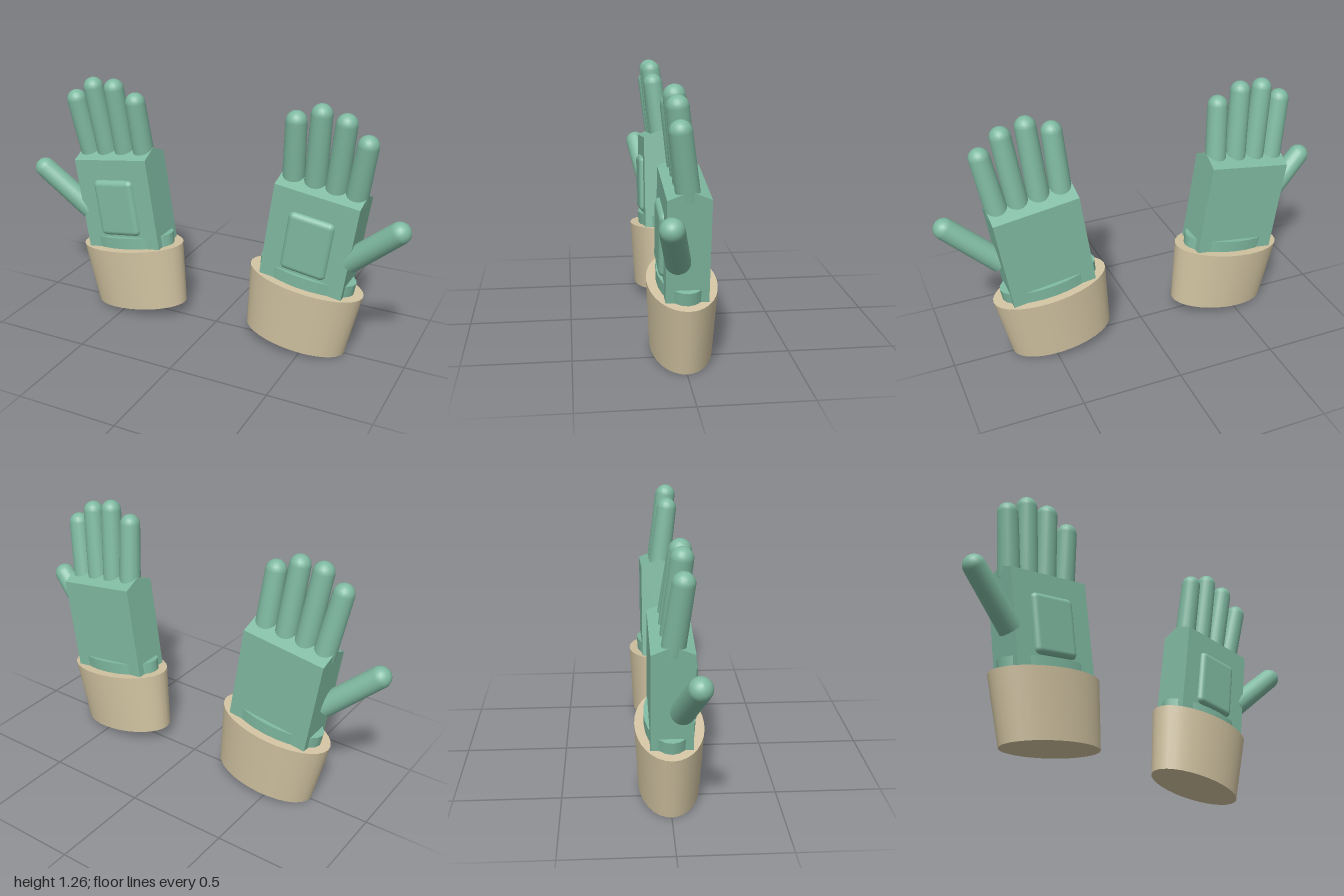
import * as THREE from 'three';
import { RoundedBoxGeometry } from 'three/addons/geometries/RoundedBoxGeometry.js';

export function createModel() {
  const green = new THREE.MeshStandardMaterial({ color: 0x7fb9a1 });
  green.name = 'gloveGreen';
  const beige = new THREE.MeshStandardMaterial({ color: 0xd2c4a2 });
  beige.name = 'cuffBeige';

  const model = new THREE.Group();
  model.name = 'pairOfGloves';

  const add = (parent, name, geometry, material) => {
    const mesh = new THREE.Mesh(geometry, material);
    mesh.name = name;
    parent.add(mesh);
    return mesh;
  };

  // Round-tipped digit with a flat base, running from base to tip centre
  const addDigit = (parent, name, base, tip, baseRadius, tipRadius) => {
    const a = new THREE.Vector3(...base);
    const axis = new THREE.Vector3(...tip).sub(a);
    const length = axis.length();
    const profile = [new THREE.Vector2(0, 0), new THREE.Vector2(baseRadius, 0), new THREE.Vector2(baseRadius, 0)];
    for (let i = 0; i <= 6; i++) {
      const t = (i / 6) * Math.PI / 2;
      profile.push(new THREE.Vector2(i === 6 ? 0 : tipRadius * Math.cos(t), length + tipRadius * Math.sin(t)));
    }
    const mesh = add(parent, name, new THREE.LatheGeometry(profile, 20), green);
    mesh.position.copy(a);
    mesh.quaternion.setFromUnitVectors(new THREE.Vector3(0, 1, 0), axis.normalize());
  };

  // Gable-topped palm section, extruded across the width of the hand
  const palmShape = new THREE.Shape([
    [-0.095, 0.28], [0.095, 0.28], [0.095, 0.805], [0, 0.845], [-0.095, 0.805],
  ].map(([z, y]) => new THREE.Vector2(z, y)));
  const palmGeometry = new THREE.ExtrudeGeometry(palmShape, { depth: 0.42, bevelEnabled: false });
  palmGeometry.translate(0, 0, -0.21).rotateY(-Math.PI / 2);
  palmGeometry.rotateY(Math.PI);

  const cuffGeometry = new THREE.CylinderGeometry(0.29, 0.26, 0.33, 32);
  cuffGeometry.scale(1, 1, 0.55).translate(0, 0.165, 0);
  const wristGeometry = new THREE.CylinderGeometry(0.245, 0.235, 0.2, 24);
  wristGeometry.scale(1, 1, 0.48).translate(0, 0.29, 0);
  const padGeometry = new RoundedBoxGeometry(0.23, 0.3, 0.06, 4, 0.028);
  padGeometry.translate(0, 0.55, 0.086);

  // Fingers: name, base x, base y, tip x; tip heights differ on each hand
  const fingers = [
    ['indexFinger', 0.402, 0.84, 0.422],
    ['middleFinger', 0.51, 0.83, 0.542],
    ['ringFinger', 0.612, 0.815, 0.66],
    ['littleFinger', 0.71, 0.8, 0.763],
  ];
  const tipHeights = { left: [1.16, 1.207, 1.177, 1.092], right: [1.137, 1.192, 1.188, 1.113] };

  for (const [side, s] of [['left', 1], ['right', -1]]) {
    const glove = new THREE.Group();
    glove.name = side + 'Glove';
    model.add(glove);

    // Cuff, wrist and palm lean outwards together
    const hand = new THREE.Group();
    hand.name = side + 'Hand';
    hand.position.set(s * 0.44, 0.037, 0);
    hand.rotation.z = -s * 0.142;
    glove.add(hand);
    add(hand, 'cuff', cuffGeometry, beige);
    add(hand, 'wrist', wristGeometry, green);
    add(hand, 'palm', palmGeometry, green);
    add(hand, 'palmPad', padGeometry, green);

    fingers.forEach(([name, baseX, baseY, tipX], i) => {
      addDigit(glove, name, [s * baseX, baseY, 0], [s * tipX, tipHeights[side][i], 0.04], 0.054, 0.05);
    });
    addDigit(glove, 'thumb', [s * 0.71, 0.522, 0.043], [s * 0.947, 0.733, 0.096], 0.056, 0.053);
  }
  return model;
}
